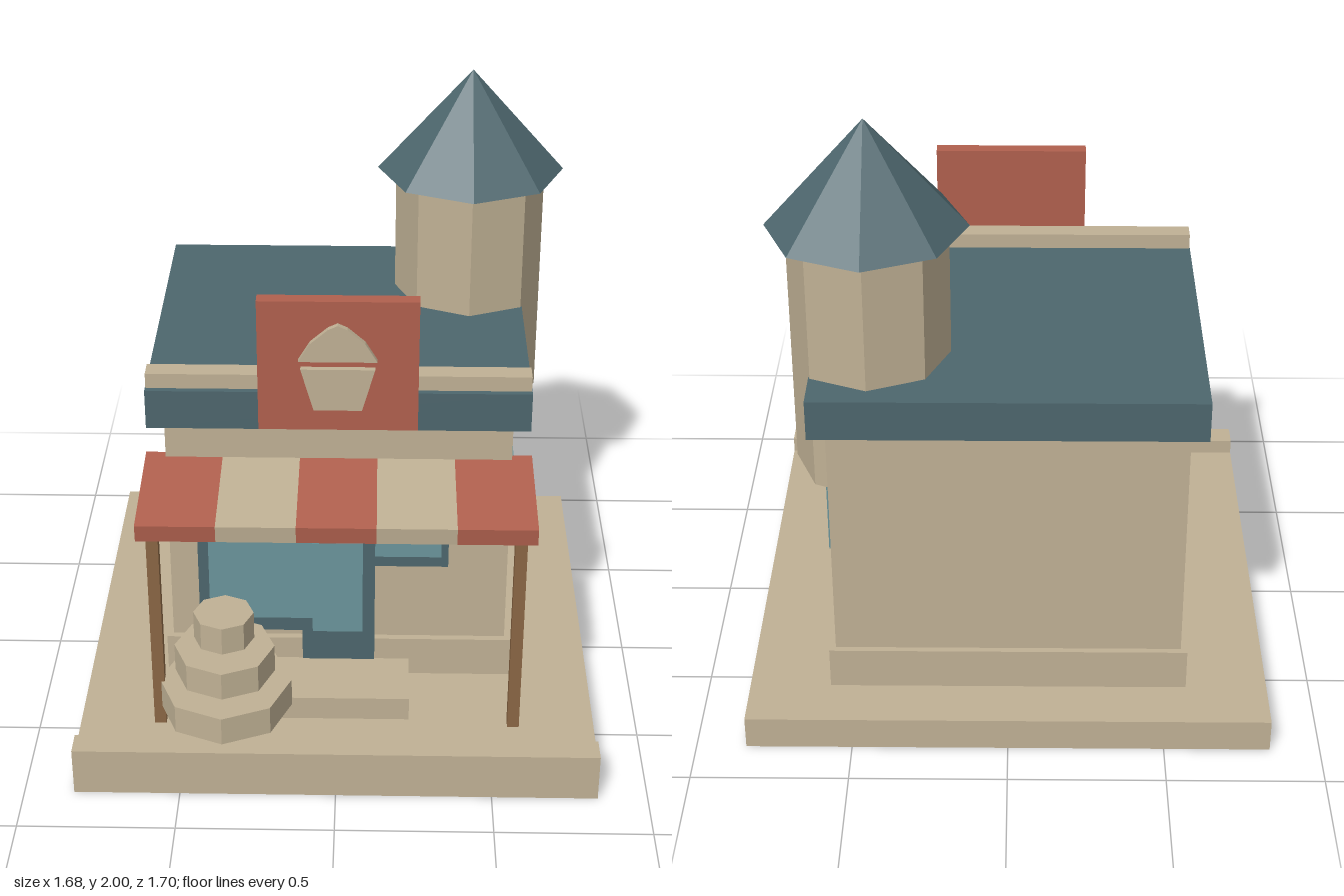
import * as THREE from 'three';

const paint = (name, color) => {
  const m = new THREE.MeshStandardMaterial({ color, flatShading: true });
  m.name = name;
  return m;
};

export function createModel() {
  const cream = paint('cream', 0xbfb094);
  const slate = paint('slate teal', 0x4d666d);
  const red = paint('brick red', 0xb0604e);
  const glass = paint('glass teal', 0x6a949b);
  const wood = paint('wood brown', 0x8a6644);

  const model = new THREE.Group();
  model.name = 'shop';

  const add = (name, geometry, material, parent = model) => {
    const mesh = new THREE.Mesh(geometry, material);
    mesh.name = name;
    parent.add(mesh);
    return mesh;
  };
  // Box given by its limits on each axis
  const box = (name, material, [x0, x1], [y0, y1], [z0, z1], parent) => {
    const mesh = add(name, new THREE.BoxGeometry(x1 - x0, y1 - y0, z1 - z0), material, parent);
    mesh.position.set((x0 + x1) / 2, (y0 + y1) / 2, (z0 + z1) / 2);
    return mesh;
  };
  // Upright octagonal prism or cone
  const octagon = (name, material, rTop, rBottom, [y0, y1], x, z, parent) => {
    const mesh = add(name, new THREE.CylinderGeometry(rTop, rBottom, y1 - y0, 8), material, parent);
    mesh.position.set(x, (y0 + y1) / 2, z);
    return mesh;
  };

  // Ground slab, curb and doorstep
  box('groundSlab', cream, [-0.84, 0.84], [0, 0.11], [-0.85, 0.83]);
  box('frontCurb', cream, [-0.84, 0.84], [0.11, 0.163], [0.745, 0.83]);
  box('doorstep', cream, [-0.235, 0.235], [0.115, 0.197], [0.355, 0.58]);

  // Building body
  box('plinth', cream, [-0.575, 0.575], [0.13, 0.27], [-0.7, 0.345]);
  box('walls', cream, [-0.555, 0.555], [0.14, 1.1], [-0.68, 0.322]);
  box('flatRoof', slate, [-0.607, 0.607], [1.09, 1.222], [-0.733, 0.375]);
  box('parapet', cream, [-0.605, 0.605], [1.222, 1.272], [0.288, 0.355]);

  // Corner tower
  const tower = new THREE.Group();
  tower.name = 'tower';
  model.add(tower);
  octagon('towerWall', cream, 0.248, 0.248, [0.84, 1.66], 0.427, -0.42, tower);
  octagon('towerRoof', slate, 0, 0.31, [1.655, 2], 0.427, -0.42, tower);

  // Shop front: frames with raised panes
  const front = new THREE.Group();
  front.name = 'shopFront';
  model.add(front);
  for (const x of [-0.237, 0.228]) {
    box('upperWindowFrame', slate, [x - 0.132, x + 0.132], [0.56, 0.845], [0.315, 0.345], front);
    box('upperWindowPane', glass, [x - 0.11, x + 0.108], [0.605, 0.82], [0.345, 0.358], front);
  }
  box('door', slate, [-0.12, 0.12], [0.14, 0.72], [0.315, 0.36], front);
  box('displayFrame', slate, [-0.46, -0.04], [0.315, 0.73], [0.315, 0.364], front);
  box('displayPane', glass, [-0.425, -0.07], [0.37, 0.695], [0.364, 0.373], front);
  box('doorPane', glass, [-0.085, 0.08], [0.325, 0.67], [0.36, 0.384], front);

  // Windows on the left wall
  for (const z of [0.067, -0.415]) {
    box('sideWindow', glass, [0.55, 0.577], [0.55, 0.842], [z - 0.115, z + 0.115]);
  }

  // Sloping striped awning on two posts
  const awning = new THREE.Group();
  awning.name = 'awning';
  awning.position.set(0, 0.909, 0.488);
  awning.rotation.x = 0.102;
  model.add(awning);
  const stripe = 1.24 / 5;
  for (let i = 0; i < 5; i++) {
    const x = -0.62 + i * stripe;
    box('awningStripe', i % 2 ? cream : red, [x, x + stripe], [-0.029, 0.029], [-0.195, 0.195], awning);
  }
  for (const x of [-0.572, 0.572]) {
    box('awningPost', wood, [x - 0.019, x + 0.019], [0.147, 0.885], [0.617, 0.655]);
  }

  // Tiered stack beside the door
  const stack = new THREE.Group();
  stack.name = 'tieredStack';
  model.add(stack);
  [[0.213, 0.215, 0.312], [0.16, 0.35, 0.445], [0.096, 0.477, 0.572]].forEach(([r, y0, y1]) =>
    octagon('tier', cream, r, r, [y0, y1], -0.358, 0.638, stack));

  // Sign board with a cake emblem in two plates
  box('signBoard', red, [-0.25, 0.25], [1.105, 1.55], [0.355, 0.402]);
  const plate = (name, points) => {
    const shape = new THREE.Shape(points.map(([x, y]) => new THREE.Vector2(x, y)));
    const mesh = add(name, new THREE.ExtrudeGeometry(shape, { depth: 0.02, bevelEnabled: false }), cream);
    mesh.position.z = 0.43;
  };
  plate('emblemCup', [[-0.075, 1.2], [0.075, 1.2], [0.115, 1.342], [-0.115, 1.342]]);
  plate('emblemTop', [[-0.122, 1.368], [0.122, 1.368], [0.085, 1.43], [0.03, 1.478],
    [0, 1.492], [-0.03, 1.478], [-0.085, 1.43]]);

  return model;
}
